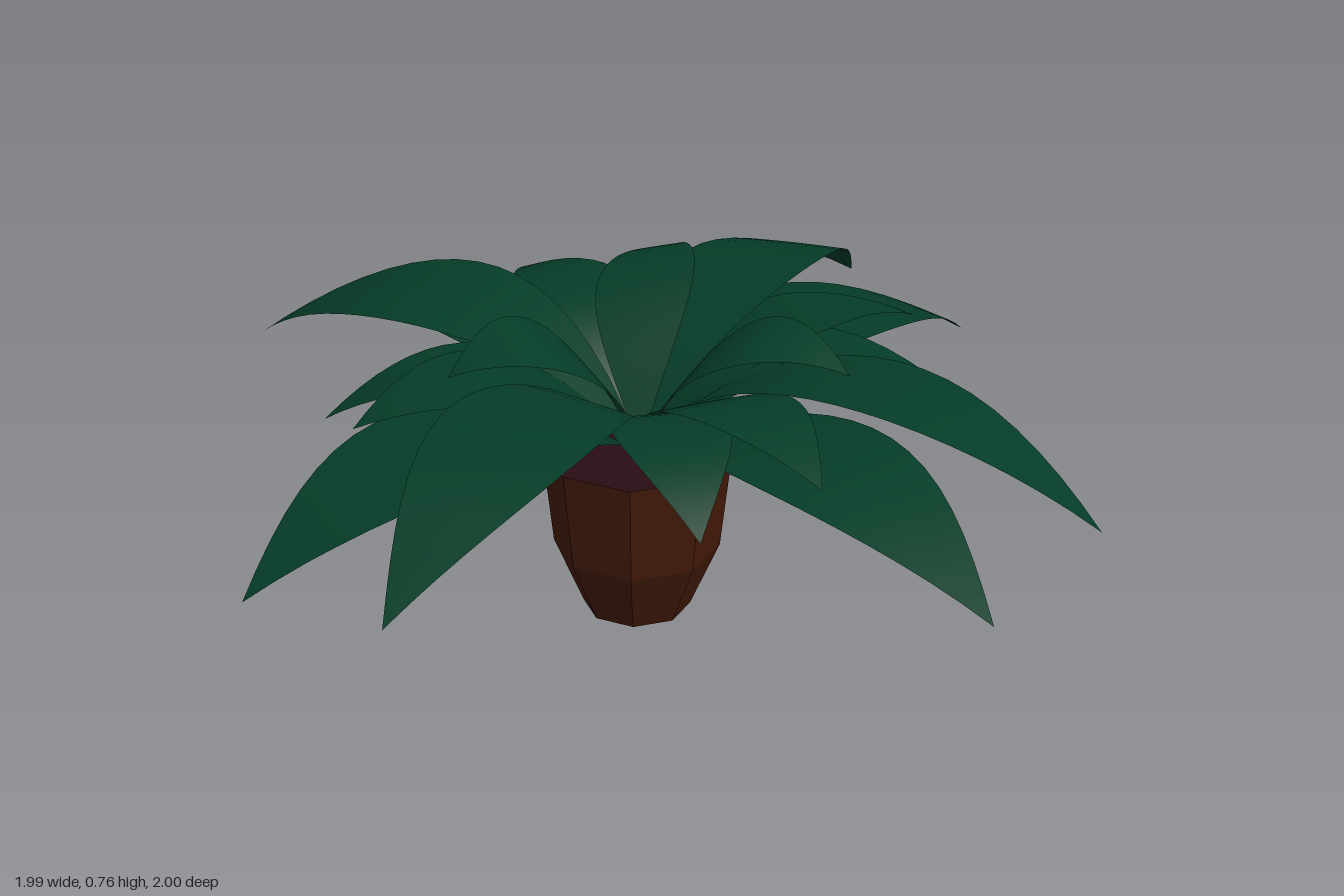
import * as THREE from 'three';

const leafMat = new THREE.MeshStandardMaterial({ color: 0x053c27, side: THREE.DoubleSide });
const potMat = new THREE.MeshStandardMaterial({ color: 0x421a08, flatShading: true });
const soilMat = new THREE.MeshStandardMaterial({ color: 0x2a0e14 });

const BASE_Y = 0.42;

// Thin arched blade from the pot centre to a tip. arch: rise above the straight
// chord; skew below 1 moves its crest inward; bend below 1 moves the widest part
// inward; roll lowers one edge and sways the middle of the blade towards it
function makeLeaf(tipX, tipZ, { tipY, arch, halfWidth, skew = 1, bend = 1 }, roll) {
  const length = Math.hypot(tipX, tipZ);
  const geo = new THREE.PlaneGeometry(1, 1, 4, 18);
  const p = geo.attributes.position;
  for (let i = 0; i < p.count; i++) {
    const t = p.getY(i) + 0.5;
    const u = Math.pow(t, skew);
    const w = halfWidth * Math.max(0, Math.sin(Math.PI * Math.pow(t, bend)));
    const x = -2 * p.getX(i) * w;
    const y = BASE_Y + (tipY - BASE_Y) * t + arch * 4 * u * (1 - u);
    const sway = 0.4 * roll * t * (1 - t);
    // the small squared term cups the blade slightly
    p.setXYZ(i, x + sway, y - roll * x - 0.12 * x * x, t * length);
  }
  geo.computeVertexNormals();
  const leaf = new THREE.Mesh(geo, leafMat);
  leaf.rotation.y = Math.atan2(tipX, tipZ);
  return leaf;
}

// Leaf tiers, lowest first: tips are [x, z, own roll if it differs from the tier's]
const tiers = [
  { name: 'lowerLeaf', tipY: 0.42, arch: 0.18, halfWidth: 0.178, roll: 0,
    tips: [[0, 1], [0.99, 0], [0, -1], [-1, 0]] },
  { name: 'upperLongLeaf', tipY: 0.475, arch: 0.24, halfWidth: 0.155, roll: 0.09, skew: 0.86,
    tips: [[0.96, -0.33], [0.36, 0.95], [-0.92, 0.34], [-0.31, -0.94]] },
  { name: 'lowerShortLeaf', tipY: 0.53, arch: 0.16, halfWidth: 0.12, roll: 0, skew: 0.93,
    tips: [[0.54, 0.36], [-0.33, 0.55], [-0.54, -0.37], [0.36, -0.53]] },
  { name: 'upperShortLeaf', tipY: 0.6, arch: 0.145, halfWidth: 0.13, roll: 0.08, skew: 0.93, bend: 0.93,
    tips: [[0.65, 0.17], [-0.1, 0.64], [-0.61, -0.17], [0.19, -0.61]] },
  { name: 'crownLeaf', tipY: 0.685, arch: 0.165, halfWidth: 0.105, roll: 0.22, skew: 0.92, bend: 0.95,
    tips: [[0.36, -0.31], [0.18, 0.43, -0.15], [-0.43, -0.09]] },
];

export function createModel() {
  const model = new THREE.Group();

  // Eight-sided tapering pot with a pointed underside
  const profile = [[0, 0], [0.115, 0.055], [0.178, 0.2], [0.202, BASE_Y]]
    .map(([r, y]) => new THREE.Vector2(r, y));
  const pot = new THREE.Mesh(new THREE.LatheGeometry(profile, 8), potMat);
  pot.name = 'pot';

  // Soil closing the rim
  const soil = new THREE.Mesh(new THREE.CircleGeometry(0.202, 8), soilMat);
  soil.name = 'soil';
  soil.rotation.x = -Math.PI / 2;
  soil.position.y = BASE_Y;

  const potGroup = new THREE.Group();
  potGroup.name = 'pottedBase';
  potGroup.position.z = -0.01;
  potGroup.add(pot, soil);
  model.add(potGroup);

  // Foliage
  const foliage = new THREE.Group();
  foliage.name = 'foliage';
  for (const tier of tiers) {
    tier.tips.forEach(([x, z, roll = tier.roll], i) => {
      const leaf = makeLeaf(x, z, tier, roll);
      leaf.name = `${tier.name}${i + 1}`;
      foliage.add(leaf);
    });
  }
  model.add(foliage);
  return model;
}
